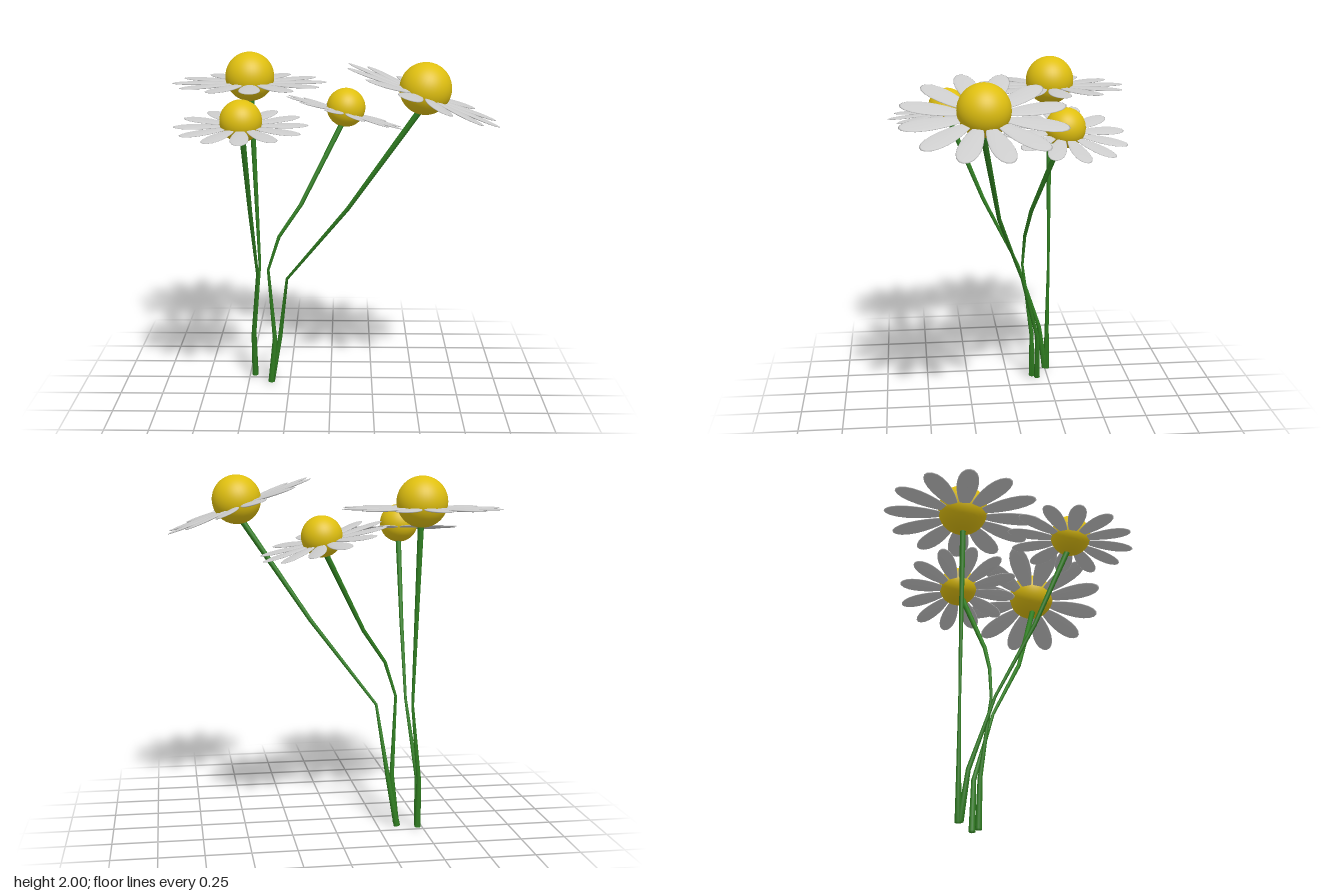
import * as THREE from 'three';

const stemMat = new THREE.MeshStandardMaterial({ color: 0x2f7d20 });
const petalMat = new THREE.MeshStandardMaterial({ color: 0xcccccc });
const discMat = new THREE.MeshStandardMaterial({ color: 0xe0c010 });
const UP = new THREE.Vector3(0, 1, 0);
const PETALS = 12;

// Thin egg-shaped petal lying along +x, wider towards the tip
function petalGeometry() {
  const g = new THREE.SphereGeometry(1, 20, 10);
  const p = g.attributes.position;
  for (let i = 0; i < p.count; i++) {
    const x = p.getX(i);
    p.setXYZ(i, 0.265 + 0.18 * x, 0.008 * p.getY(i), 0.058 * p.getZ(i) * (1 + 0.3 * x));
  }
  g.computeVertexNormals();
  return g;
}

// Stems are thick at the base, thinnest at y = 0.75 and widen again to the head
function stemRadius(y) {
  return y < 0.75 ? 0.008 + 0.011 * (1 - y / 0.75) ** 1.5 : 0.008 + 0.0095 * (y - 0.75);
}

// Stem lofted through points [x, y, z], closed at both ends
function stemGeometry(points, sides = 10) {
  const v = points.map(p => new THREE.Vector3(...p));
  const pos = [], idx = [];
  const last = v.length - 1;
  v.forEach((c, i) => {
    const dir = v[Math.min(i + 1, last)].clone().sub(v[Math.max(i - 1, 0)]).normalize();
    const q = new THREE.Quaternion().setFromUnitVectors(UP, dir);
    const r = stemRadius(c.y);
    for (let j = 0; j < sides; j++) {
      const a = (j / sides) * Math.PI * 2;
      const w = new THREE.Vector3(Math.cos(a) * r, 0, Math.sin(a) * r).applyQuaternion(q).add(c);
      pos.push(w.x, w.y, w.z);
      const k = (j + 1) % sides;
      if (i < last) {
        const lo = i * sides, hi = lo + sides;
        idx.push(lo + j, hi + j, lo + k, lo + k, hi + j, hi + k);
      }
    }
  });
  for (let j = 1; j < sides - 1; j++) {
    const t = last * sides;
    idx.push(0, j, j + 1, t, t + j + 1, t + j);
  }
  const g = new THREE.BufferGeometry();
  g.setAttribute('position', new THREE.Float32BufferAttribute(pos, 3));
  g.setIndex(idx);
  g.computeVertexNormals();
  return g;
}

// One flower: turn is the angle of the first petal in degrees
function makeFlower({ name, head, facing, size, turn, stem }, petalGeo, discGeo) {
  const flower = new THREE.Group();
  flower.name = name;

  const stalk = new THREE.Mesh(stemGeometry(stem), stemMat);
  stalk.name = 'stem';
  flower.add(stalk);

  // Head: round yellow centre with a ring of petals just below its middle
  const top = new THREE.Group();
  top.name = 'flowerHead';
  top.position.set(...head);
  top.quaternion.setFromUnitVectors(UP, new THREE.Vector3(...facing).normalize());
  top.scale.setScalar(size);

  const disc = new THREE.Mesh(discGeo, discMat);
  disc.name = 'flowerCentre';
  top.add(disc);

  for (let i = 0; i < PETALS; i++) {
    const petal = new THREE.Mesh(petalGeo, petalMat);
    petal.name = 'petal';
    petal.position.y = -0.036;
    petal.rotation.y = -THREE.MathUtils.degToRad(turn + (i * 360) / PETALS);
    top.add(petal);
  }
  flower.add(top);
  return flower;
}

export function createModel() {
  const model = new THREE.Group();
  model.name = 'flowerBunch';
  const petalGeo = petalGeometry();
  const discGeo = new THREE.SphereGeometry(0.14, 40, 28);

  const tallBack = {
    name: 'tallBackFlower', head: [-0.465, 1.86, -0.26], facing: [0, 1, 0], size: 1, turn: -4,
    stem: [[-0.465, 0.02, -0.255], [-0.468, 0.3, -0.257], [-0.427, 0.73, -0.258], [-0.46, 1.75, -0.258]],
  };
  const front = {
    name: 'frontFlower', head: [-0.465, 1.71, 0.347], facing: [0, 1, 0.1], size: 0.8, turn: -3,
    stem: [[-0.465, 0.025, -0.245], [-0.468, 0.3, -0.208], [-0.427, 0.73, -0.07],
      [-0.443, 1.15, 0.14], [-0.46, 1.63, 0.335]],
  };
  const smallBack = {
    name: 'smallBackFlower', head: [0.087, 1.68, -0.277], facing: [0.28, 1, -0.1], size: 0.8, turn: 16,
    stem: [[-0.36, 0.02, -0.15], [-0.335, 0.3, -0.145], [-0.365, 0.75, -0.09],
      [-0.3, 0.95, -0.097], [-0.17, 1.14, -0.12], [0.07, 1.6, -0.255]],
  };
  const leaning = {
    name: 'leaningFlower', head: [0.51, 1.86, 0.2], facing: [0.38, 1, 0], size: 1, turn: 17,
    stem: [[-0.36, 0.008, -0.183], [-0.305, 0.3, -0.177], [-0.255, 0.7, -0.075],
      [0.1, 1.17, 0.09], [0.48, 1.74, 0.205]],
  };

  for (const spec of [tallBack, front, smallBack, leaning]) {
    model.add(makeFlower(spec, petalGeo, discGeo));
  }
  return model;
}
